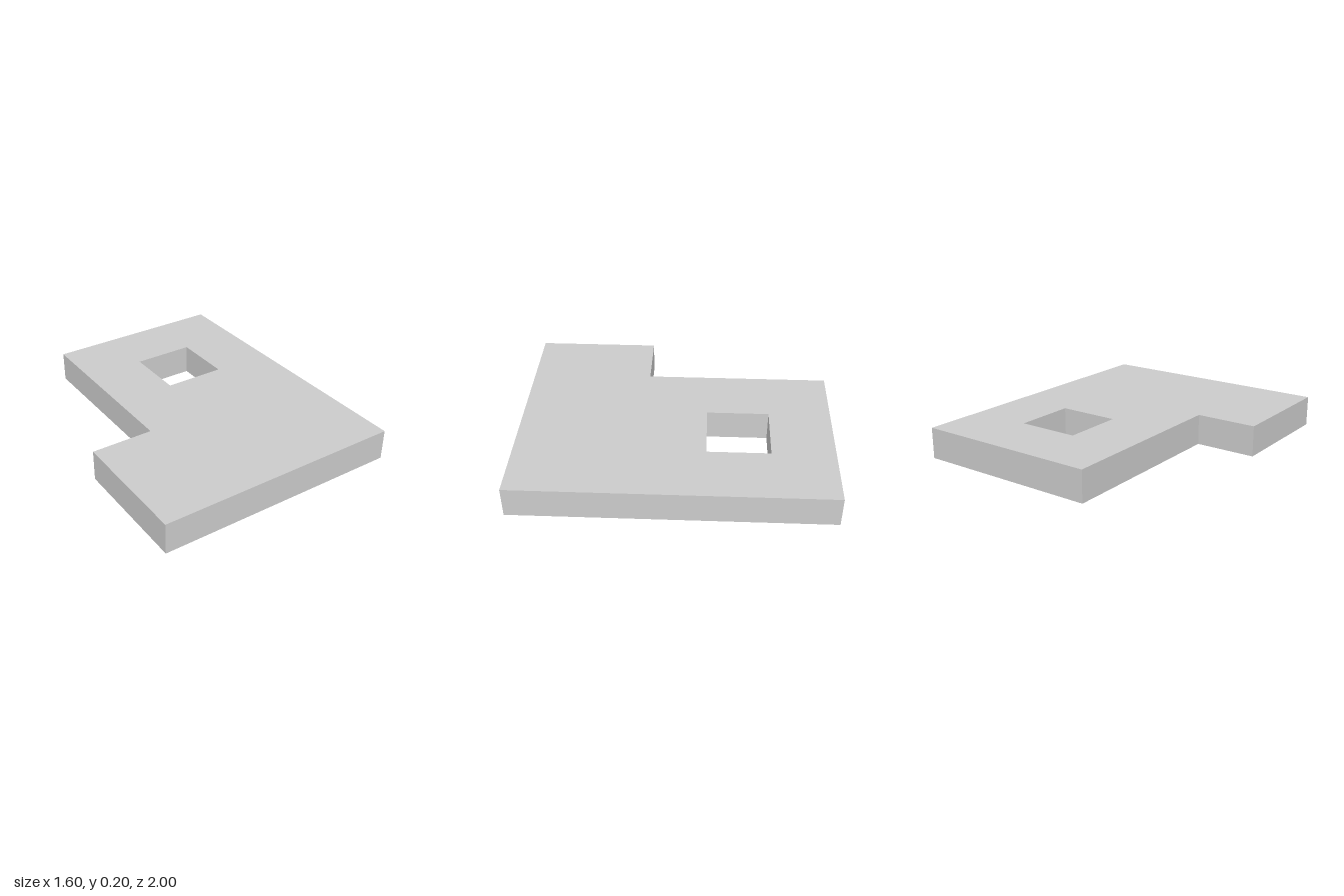
import * as THREE from 'three';

const points = (pairs) => pairs.map(([x, z]) => new THREE.Vector2(x, -z));

export function createModel() {
  const group = new THREE.Group();
  group.name = 'notchedPlate';

  // Plan outline as [x, z], with one notched corner
  const outline = new THREE.Shape(points([
    [-0.8, 1], [0.8, 1], [0.8, -1], [-0.4, -1], [-0.4, 0.2], [-0.8, 0.2],
  ]));

  // Square through-hole
  outline.holes.push(new THREE.Path(points([
    [0, -0.6], [0.4, -0.6], [0.4, -0.2], [0, -0.2],
  ])));

  // Lay the slab flat on the ground
  const geometry = new THREE.ExtrudeGeometry(outline, { depth: 0.2, bevelEnabled: false });
  geometry.rotateX(-Math.PI / 2);

  const plate = new THREE.Mesh(
    geometry,
    new THREE.MeshStandardMaterial({ color: 0xcccccc, flatShading: true }),
  );
  plate.name = 'plate';
  group.add(plate);
  return group;
}
